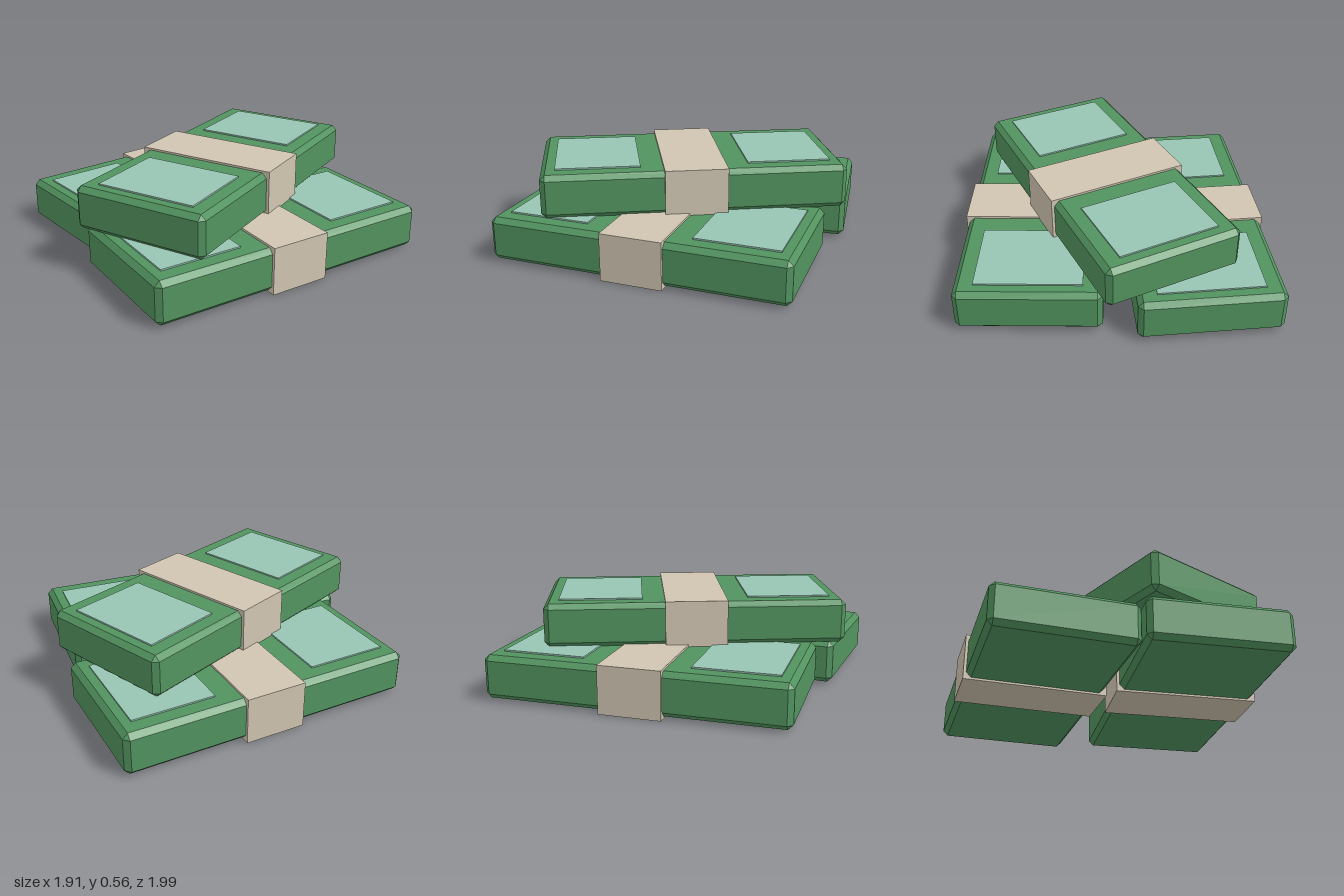
import * as THREE from 'three';
import { ConvexGeometry } from 'three/addons/geometries/ConvexGeometry.js';

// Box with every edge cut at 45 degrees
function chamferedBox(w, h, d, c) {
  const [x, y, z] = [w / 2, h / 2, d / 2];
  const points = [];
  for (const sx of [-1, 1]) for (const sy of [-1, 1]) for (const sz of [-1, 1]) {
    points.push(
      new THREE.Vector3(sx * x, sy * (y - c), sz * (z - c)),
      new THREE.Vector3(sx * (x - c), sy * y, sz * (z - c)),
      new THREE.Vector3(sx * (x - c), sy * (y - c), sz * z));
  }
  return new ConvexGeometry(points);
}

export function createModel() {
  const material = (name, color) => {
    const m = new THREE.MeshStandardMaterial({ color });
    m.name = name;
    return m;
  };
  const green = material('green', 0x52935f);
  const paleGreen = material('pale green', 0x97c4b2);
  const paper = material('paper', 0xd0c5b1);

  const stackGeometry = chamferedBox(0.86, 0.265, 1.826, 0.031);
  const bandGeometry = new THREE.BoxGeometry(0.895, 0.291, 0.375);
  const panelGeometry = new THREE.BoxGeometry(0.63, 0.0095, 0.505);

  // One banded bundle, standing on its band
  function createBundle(name, x, y, z, turn) {
    const bundle = new THREE.Group();
    bundle.name = name;
    const add = (part, geometry, mat, py, pz = 0) => {
      const mesh = new THREE.Mesh(geometry, mat);
      mesh.name = part;
      mesh.position.set(0, py, pz);
      bundle.add(mesh);
    };
    add('noteStack', stackGeometry, green, 0.1455);
    add('paperBand', bandGeometry, paper, 0.1455);
    add('backPanel', panelGeometry, paleGreen, 0.2825, -0.575);
    add('frontPanel', panelGeometry, paleGreen, 0.2825, 0.575);
    bundle.position.set(x, y, z);
    bundle.rotation.y = turn;
    return bundle;
  }

  // Two bundles side by side, a third lying across them
  const model = new THREE.Group();
  model.name = 'bundlePile';
  model.add(
    createBundle('rightBundle', -0.477, 0, -0.048, 0.061),
    createBundle('leftBundle', 0.478, 0, 0.042, -0.049),
    createBundle('topBundle', 0.048, 0.267, -0.002, 0.42));
  return model;
}
